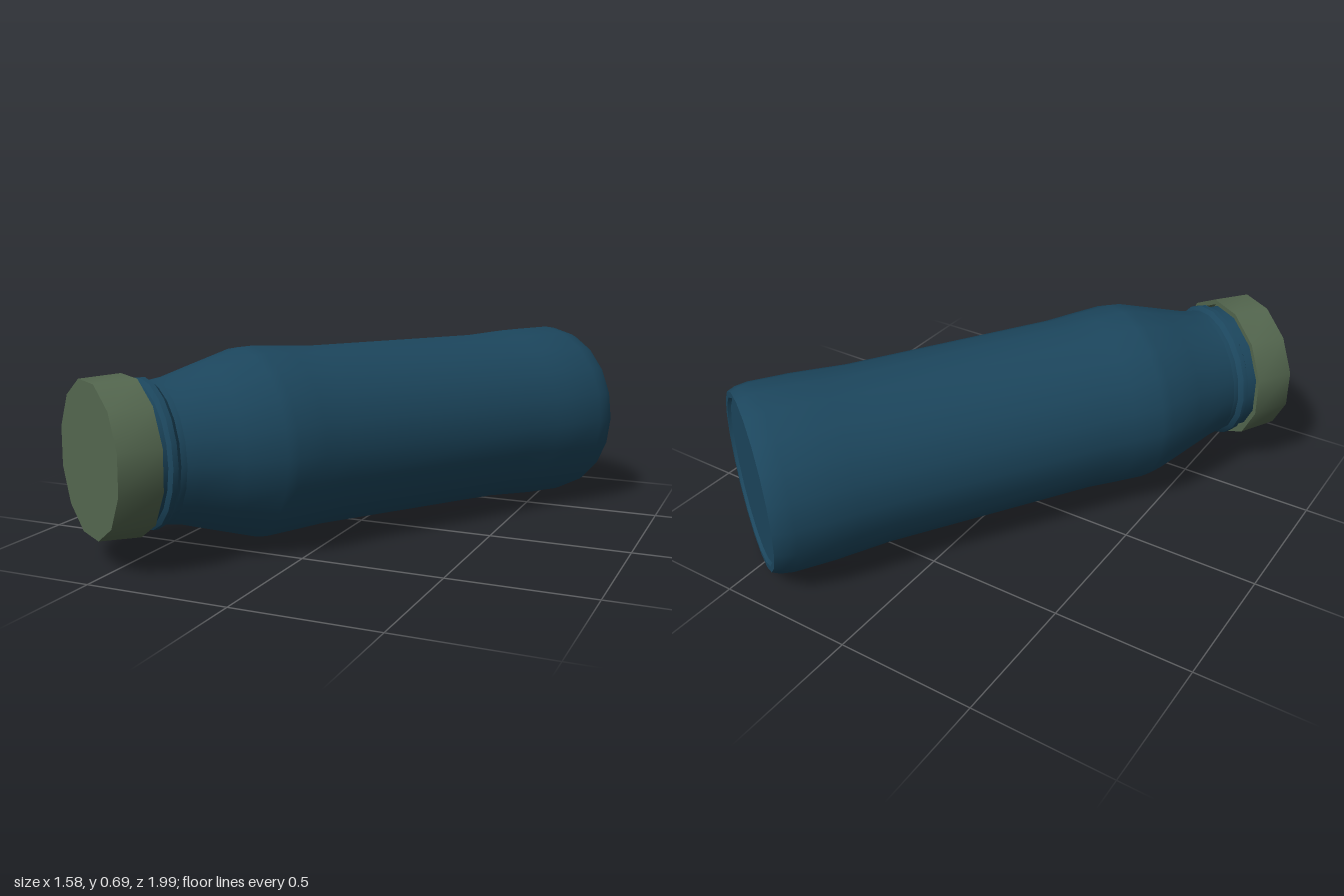
import * as THREE from 'three';
import { toCreasedNormals } from 'three/addons/utils/BufferGeometryUtils.js';

// Turned part: profile of [radius, distance along the axis], from the base end outward
function turned(name, profile, sides, phase, color, crease) {
  const points = profile.map(([r, s]) => new THREE.Vector2(r, s));
  const geometry = toCreasedNormals(new THREE.LatheGeometry(points, sides, phase), crease);
  const mesh = new THREE.Mesh(geometry, new THREE.MeshStandardMaterial({ color }));
  mesh.name = name;
  return mesh;
}

export function createModel() {
  const model = new THREE.Group();
  model.name = 'bottle';

  // Body: base with a shallow recess, slight flare, straight wall, shoulder, neck
  const body = turned('body', [
    [0, 0.012], [0.285, 0.012], [0.295, 0.002], [0.316, 0.002], [0.328, 0.03],
    [0.335, 0.075], [0.333, 0.22], [0.329, 0.29], [0.321, 0.42], [0.321, 1.2],
    [0.328, 1.31], [0.334, 1.42], [0.33, 1.46], [0.288, 1.6], [0.25, 1.725], [0.242, 1.775],
  ], 20, 0, 0x1c465d, 0.75);

  // Neck finish: sealing ring, groove and mouth hidden by the cap
  const neck = turned('neckRing', [
    [0.242, 1.775], [0.24, 1.795], [0.254, 1.81], [0.254, 1.828],
    [0.238, 1.838], [0.236, 1.91], [0, 1.91],
  ], 20, 0, 0x1c465d, 0.6);

  // Cap: twelve-sided hollow shell, a little wider at its open rim
  const cap = turned('cap', [
    [0, 1.94], [0.246, 1.94], [0.252, 1.865], [0.271, 1.865], [0.263, 2.01], [0, 2.01],
  ], 12, Math.PI / 12, 0x54674f, 0.75);

  model.add(body, neck, cap);

  // Lay the bottle down diagonally, cap toward the front
  const base = new THREE.Vector3(0.525, 0.337, -0.823);
  const tip = new THREE.Vector3(-0.585, 0.363, 0.853);
  const axis = tip.clone().sub(base).normalize();
  const across = new THREE.Vector3(axis.z, 0, -axis.x).normalize();
  const down = across.clone().cross(axis);
  model.quaternion.setFromRotationMatrix(new THREE.Matrix4().makeBasis(across, axis, down));
  model.position.copy(base);

  const root = new THREE.Group();
  root.add(model);
  return root;
}
